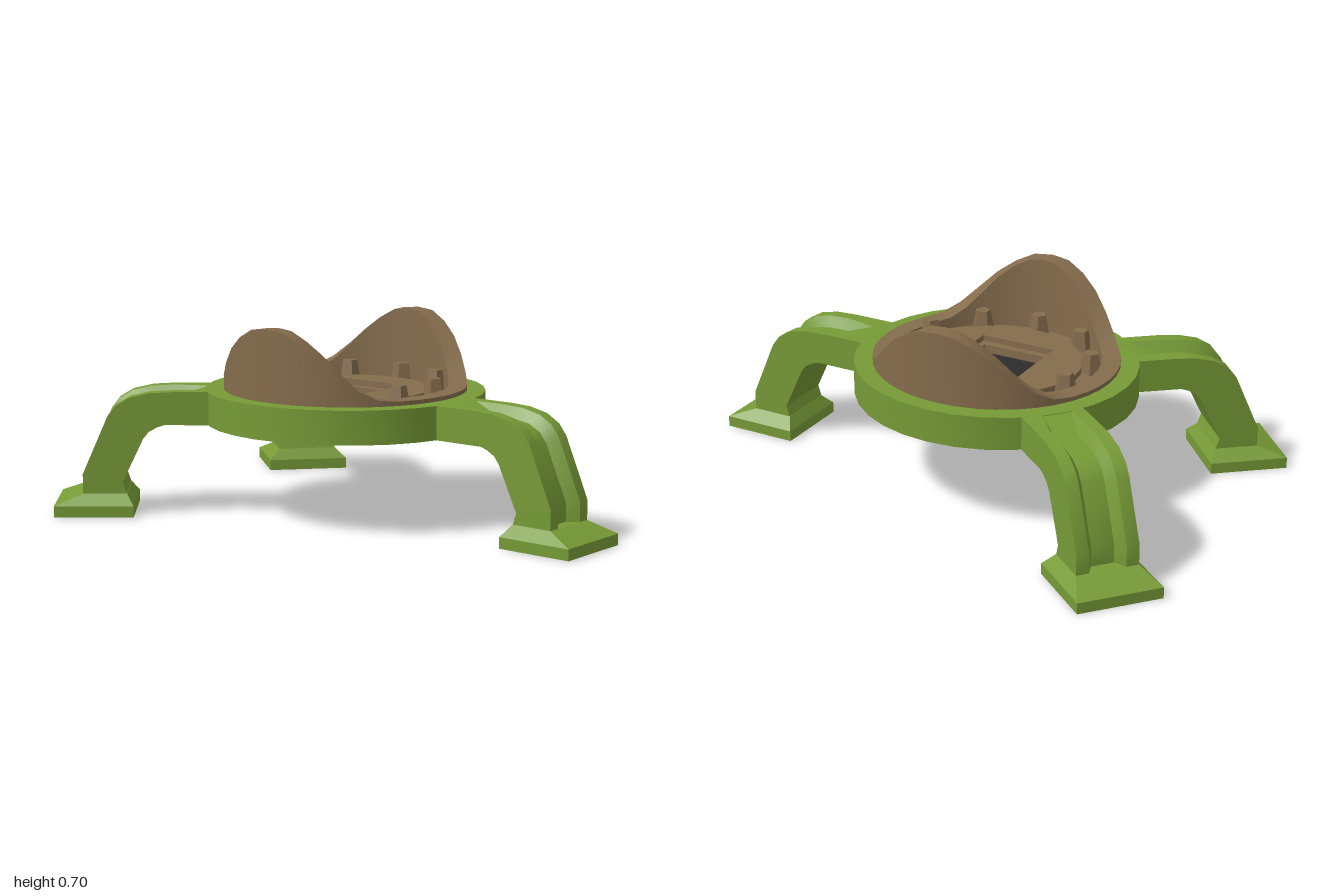
import * as THREE from 'three';
import { toCreasedNormals } from 'three/addons/utils/BufferGeometryUtils.js';

const mat = (name, color) => new THREE.MeshStandardMaterial({ name, color });

// Joins equal-length rings of [x, y, z] points into a skin; open lofts get end caps
function loft(rings, { closed = false, crease = 0.5 } = {}) {
  const pos = [];
  const n = rings[0].length;
  const tri = (a, b, c) => pos.push(...a, ...b, ...c);
  const spans = closed ? rings.length : rings.length - 1;
  for (let i = 0; i < spans; i++) {
    const r = rings[i], s = rings[(i + 1) % rings.length];
    for (let j = 0; j < n; j++) {
      const k = (j + 1) % n;
      tri(r[j], r[k], s[k]);
      tri(r[j], s[k], s[j]);
    }
  }
  if (!closed) {
    const a = rings[0], b = rings[rings.length - 1];
    for (let j = 1; j < n - 1; j++) {
      tri(a[0], a[j + 1], a[j]);
      tri(b[0], b[j], b[j + 1]);
    }
  }
  const g = new THREE.BufferGeometry();
  g.setAttribute('position', new THREE.Float32BufferAttribute(pos, 3));
  return toCreasedNormals(g, crease);
}

// Horizontal round plate with a hole, from height y0 to y1
function plate(radius, y0, y1, hole) {
  const s = new THREE.Shape();
  s.absarc(0, 0, radius, 0, Math.PI * 2);
  s.holes.push(hole);
  const g = new THREE.ExtrudeGeometry(s, { depth: y1 - y0, bevelEnabled: false, curveSegments: 16 });
  g.rotateX(-Math.PI / 2).translate(0, y0, 0);
  return toCreasedNormals(g, 0.5);
}

function rectHole(w, d) {
  return new THREE.Path([[-w, -d], [-w, d], [w, d], [w, -d]].map(([x, y]) => new THREE.Vector2(x, y)));
}

// Leg stations: outer z, y, inner z, y, groove depth
const LEG = [
  [0.38, 0.45, 0.38, 0.33, 0],
  [0.46, 0.45, 0.46, 0.33, 0],
  [0.58, 0.45, 0.55, 0.33, 0.04],
  [0.66, 0.446, 0.61, 0.33, 0.04],
  [0.73, 0.43, 0.635, 0.322, 0.04],
  [0.78, 0.40, 0.665, 0.305, 0.04],
  [0.81, 0.36, 0.685, 0.28, 0.04],
  [0.90, 0.15, 0.76, 0.12, 0.04],
  [0.90, 0.075, 0.745, 0.075, 0.04],
];

function legGeometry() {
  return loft(LEG.map(([oz, oy, iz, iy, d]) => {
    const len = Math.hypot(iz - oz, iy - oy);
    const fz = oz + (iz - oz) / len * d, fy = oy + (iy - oy) / len * d;
    return [
      [0.11, oy, oz], [0.065, oy, oz], [0.04, fy, fz], [-0.04, fy, fz],
      [-0.065, oy, oz], [-0.11, oy, oz], [-0.11, iy, iz], [0.11, iy, iz],
    ];
  }));
}

function footGeometry() {
  const ring = (y, x, zf, zb) => [[-x, y, zf], [x, y, zf], [x, y, zb], [-x, y, zb]];
  return loft([ring(0, 0.15, 1, 0.72), ring(0.04, 0.15, 1, 0.72), ring(0.08, 0.11, 0.9, 0.745)], { crease: 0.2 });
}

// Wall height as a function of distance from the side axis (0 at the sides, 1 at front and back)
const HEIGHTS = [[0, 0.705], [0.12, 0.703], [0.2, 0.692], [0.4, 0.642], [0.56, 0.57], [0.7, 0.505], [0.77, 0.48], [0.84, 0.465], [1.01, 0.465]];
function wallHeight(s) {
  const i = Math.max(1, HEIGHTS.findIndex(([a]) => a >= s));
  const [a, ya] = HEIGHTS[i - 1], [b, yb] = HEIGHTS[i];
  return ya + (yb - ya) * (s - a) / (b - a);
}

function wallGeometry() {
  const rings = [];
  const N = 40;
  for (let i = 0; i < N; i++) {
    const t = i / N * Math.PI * 2, c = Math.cos(t), s = Math.sin(t);
    const y = wallHeight(Math.abs(s));
    const p = (r, h) => [r * c, h, r * s];
    rings.push([p(0.36, 0.40), p(0.43, 0.40), p(0.43, y), p(0.365, y)]);
  }
  return loft(rings, { closed: true });
}

export function createModel() {
  const green = mat('green paint', 0x769a36);
  const brown = mat('brown metal', 0x846c4c);
  const dark = mat('dark panel', 0x2d2d2d);
  const model = new THREE.Group();
  model.name = 'turretBase';

  const add = (parent, name, geometry, material) => {
    const m = new THREE.Mesh(geometry, material);
    m.name = name;
    parent.add(m);
    return m;
  };

  // Slightly oval platform
  const platform = new THREE.Group();
  platform.name = 'platform';
  platform.position.z = -0.08;
  platform.scale.z = 1.04;
  model.add(platform);
  const ringHole = new THREE.Path();
  ringHole.absarc(0, 0, 0.41, 0, Math.PI * 2, true);
  add(platform, 'outerRing', plate(0.495, 0.33, 0.45, ringHole), green);
  add(platform, 'bottomPlate', plate(0.41, 0.331, 0.36, rectHole(0.105, 0.105)), brown);
  add(platform, 'ledgePlate', plate(0.41, 0.36, 0.43, rectHole(0.135, 0.117)), brown);
  add(platform, 'innerPlate', plate(0.3, 0.43, 0.452, rectHole(0.165, 0.138)), brown);
  add(platform, 'hatchPanel', new THREE.BoxGeometry(0.27, 0.04, 0.234).translate(0, 0.38, 0), dark);
  add(platform, 'hatchUnderside', new THREE.BoxGeometry(0.21, 0.035, 0.21).translate(0, 0.3465, 0), dark);

  // Wall rising at both sides
  add(platform, 'sideWall', wallGeometry(), brown);

  // Circle of bolts
  const boltGeo = toCreasedNormals(new THREE.CylinderGeometry(0.028, 0.042, 0.08, 5), 0.2);
  for (let i = 0; i < 10; i++) {
    const t = i * Math.PI / 5;
    const bolt = add(platform, 'bolt', boltGeo, brown);
    bolt.position.set(0.33 * Math.cos(t), 0.464, 0.33 * Math.sin(t));
    bolt.rotation.y = -t;
  }

  // Three legs with feet; the back pair follows the oval of the platform
  const legGeo = legGeometry(), footGeo = footGeometry();
  const addLeg = (parent, name, angle, shift) => {
    const leg = new THREE.Group();
    leg.name = name;
    leg.rotation.y = angle;
    add(leg, 'strut', legGeo, green).position.z = shift;
    add(leg, 'foot', footGeo, green).position.z = shift;
    parent.add(leg);
  };
  const backAngle = THREE.MathUtils.degToRad(140);
  addLeg(model, 'frontLeg', 0, 0);
  addLeg(platform, 'backLeftLeg', backAngle, 0.026);
  addLeg(platform, 'backRightLeg', -backAngle, 0.026);
  return model;
}
